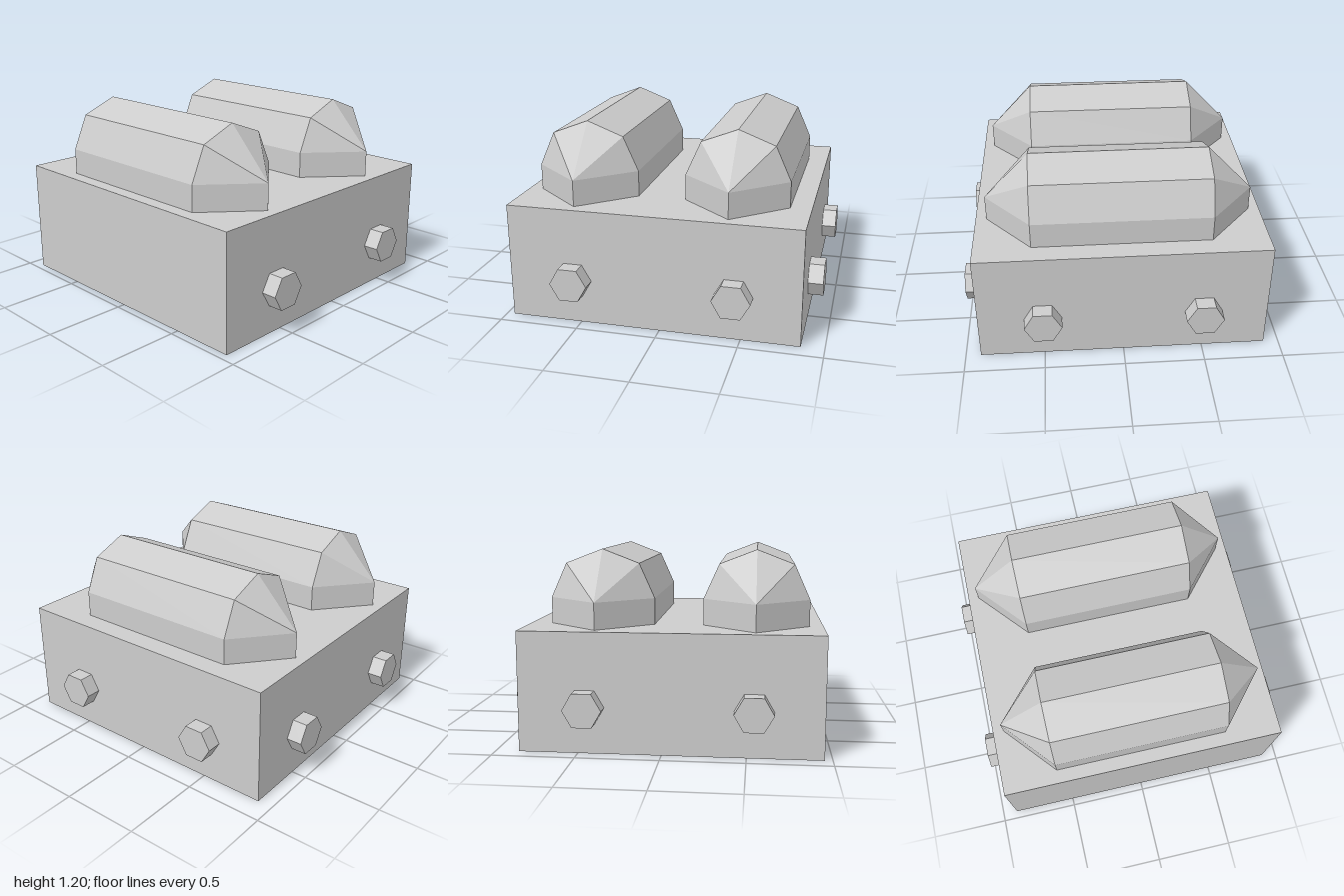
import * as THREE from 'three';

const BASE_TOP = 0.73, SHOULDER = 0.893;

// Faceted pod: half-octagon section lofted along x, pinched to a vertical edge at both ends
function podGeometry() {
  const profile = [[-0.324, BASE_TOP], [-0.324, SHOULDER], [-0.228, 1.107], [0, 1.195],
    [0.228, 1.107], [0.324, SHOULDER], [0.324, BASE_TOP]];
  const body = x => profile.map(([z, y]) => new THREE.Vector3(x, y, z));
  const tip = x => profile.map(([, y]) => new THREE.Vector3(x, Math.min(y, SHOULDER), 0));
  const rings = [tip(-0.837), body(-0.553), body(0.553), tip(0.837)];
  const points = [];
  const addTriangle = (a, b, c) => {
    if (new THREE.Triangle(a, b, c).getArea() > 1e-6) points.push(a, b, c);
  };
  for (let s = 0; s < rings.length - 1; s++) {
    for (let i = 0; i < profile.length - 1; i++) {
      const a = rings[s][i], b = rings[s + 1][i], c = rings[s + 1][i + 1], d = rings[s][i + 1];
      addTriangle(a, d, c);
      addTriangle(a, c, b);
    }
  }
  const geometry = new THREE.BufferGeometry().setFromPoints(points);
  geometry.computeVertexNormals();
  return geometry;
}

export function createModel() {
  const model = new THREE.Group();
  model.name = 'podBlock';
  const grey = new THREE.MeshStandardMaterial({ color: 0xcccccc, flatShading: true });
  grey.name = 'lightGrey';

  const add = (name, geometry, x, y, z) => {
    const mesh = new THREE.Mesh(geometry, grey);
    mesh.name = name;
    mesh.position.set(x, y, z);
    model.add(mesh);
    return mesh;
  };

  // Base block, set slightly forward to leave room for the back studs
  add('base', new THREE.BoxGeometry(1.81, BASE_TOP, 1.812), 0, BASE_TOP / 2, 0.047);

  // Two pods across the top
  const pod = podGeometry();
  add('frontPod', pod, 0, 0, 0.545);
  add('backPod', pod, 0, 0, -0.404);

  // Hexagonal studs on both sides and the back
  const stud = new THREE.CylinderGeometry(0.117, 0.117, 0.095, 6).rotateZ(Math.PI / 2);
  for (const side of [-1, 1]) {
    const label = side > 0 ? 'left' : 'right';
    add(label + 'FrontStud', stud, side * 0.9525, 0.28, 0.543);
    add(label + 'RearStud', stud, side * 0.9525, 0.28, -0.455);
    add(label + 'BackStud', stud, side * 0.5, 0.28, -0.9055).rotation.y = Math.PI / 2;
  }
  return model;
}
